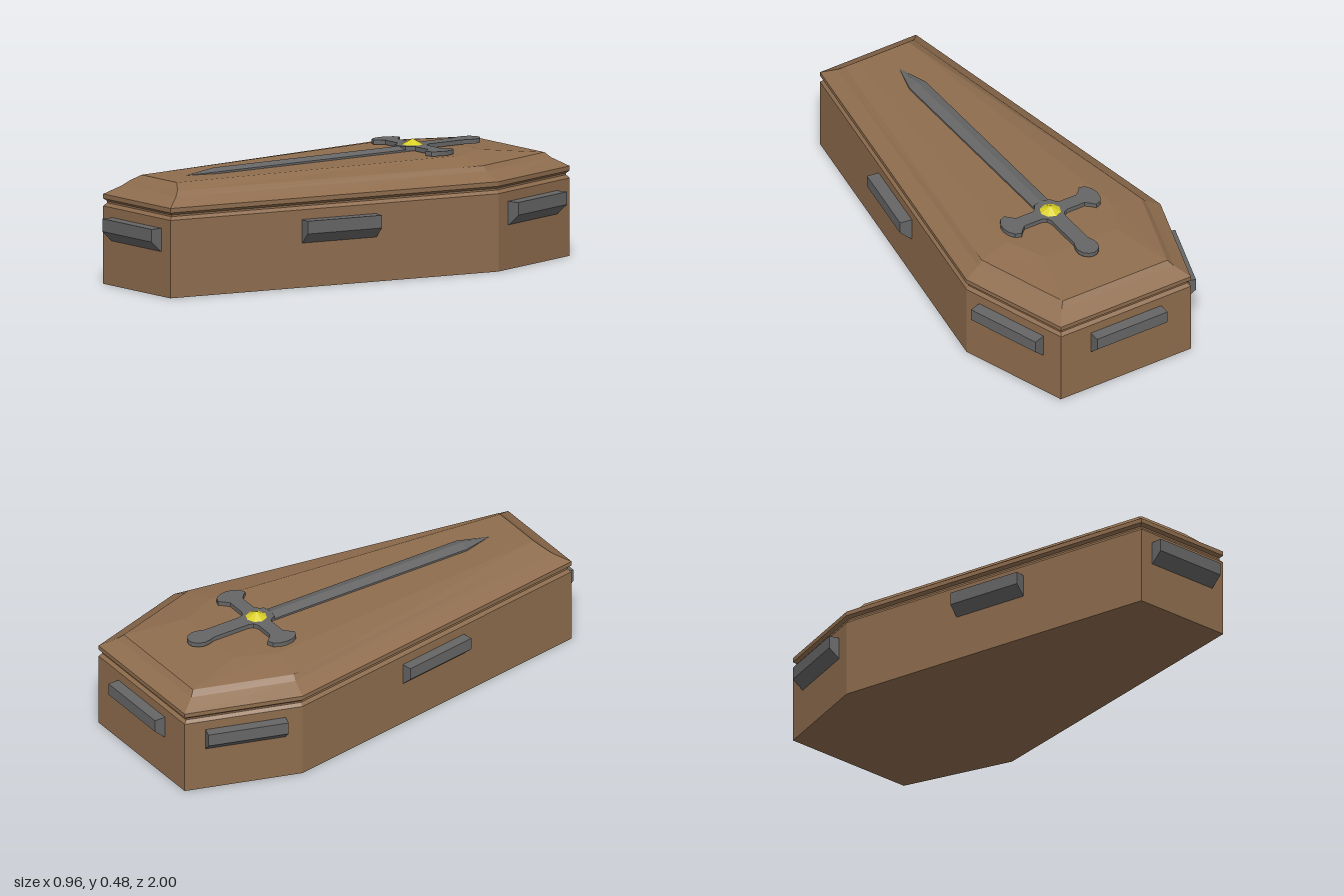
import * as THREE from 'three';

// Skins a list of equal-sized point rings (counter-clockwise seen from the end) and caps both ends.
function loft(rings) {
  const pos = [];
  const tri = (a, b, c) => pos.push(...a, ...b, ...c);
  const n = rings[0].length;
  for (let r = 0; r < rings.length - 1; r++) {
    for (let i = 0; i < n; i++) {
      const j = (i + 1) % n;
      const [a, b, c, d] = [rings[r][i], rings[r][j], rings[r + 1][j], rings[r + 1][i]];
      tri(a, b, c);
      tri(a, c, d);
    }
  }
  const first = rings[0], last = rings[rings.length - 1];
  for (let i = 1; i < n - 1; i++) {
    tri(first[0], first[i + 1], first[i]);
    tri(last[0], last[i], last[i + 1]);
  }
  const geo = new THREE.BufferGeometry();
  geo.setAttribute('position', new THREE.Float32BufferAttribute(pos, 3));
  geo.computeVertexNormals();
  return geo;
}

// Six-sided outline: half width and z at the foot, shoulders and head.
function outline([y, footX, footZ, wideX, wideZ, headX, headZ]) {
  const half = [[footX, y, footZ], [wideX, y, wideZ], [headX, y, headZ]];
  return [...half, ...half.map(([x, h, z]) => [-x, h, z]).reverse()];
}

export function createModel() {
  const group = new THREE.Group();
  const make = (name, color) => {
    const m = new THREE.MeshStandardMaterial({ color, flatShading: true });
    m.name = name;
    return m;
  };
  const wood = make('brown wood', 0x8f6d4e);
  const metal = make('grey metal', 0x666666);
  const gold = make('yellow gem', 0xd9cf26);
  const add = (name, geo, mat) => {
    const mesh = new THREE.Mesh(geo, mat);
    mesh.name = name;
    group.add(mesh);
    return mesh;
  };

  // Box
  const box = add('box', loft([
    [0, 0.225, 0.95, 0.455, -0.49, 0.305, -0.95],
    [0.312, 0.225, 0.95, 0.455, -0.49, 0.305, -0.95],
    [0.325, 0.216, 0.938, 0.443, -0.49, 0.297, -0.938],
  ].map(outline)), wood);

  // Lid with a notched rim, bevelled border and raised crown
  const lid = add('lid', loft([
    [0.325, 0.216, 0.938, 0.443, -0.49, 0.297, -0.938],
    [0.332, 0.216, 0.938, 0.443, -0.49, 0.297, -0.938],
    [0.342, 0.225, 0.95, 0.455, -0.49, 0.305, -0.95],
    [0.36, 0.225, 0.95, 0.455, -0.49, 0.305, -0.95],
    [0.395, 0.18, 0.89, 0.392, -0.48, 0.262, -0.89],
    [0.415, 0.16, 0.868, 0.373, -0.475, 0.245, -0.87],
    [0.44, 0.118, 0.84, 0.24, -0.46, 0.17, -0.62],
  ].map(outline)), wood);
  box.position.x = lid.position.x = -0.004;

  // Handles: one wedge-bottomed bar on each of the six walls
  const profile = new THREE.Shape([
    [-0.01, 0.176], [0.002, 0.18], [0.048, 0.222], [0.048, 0.273], [-0.01, 0.273],
  ].map(([x, y]) => new THREE.Vector2(x, y)));
  const bar = new THREE.ExtrudeGeometry(profile, { depth: 0.33, bevelEnabled: false });
  bar.translate(0, 0, -0.165);
  const handle = (name, x, z, nx, nz) => {
    const mesh = add(name, bar, metal);
    mesh.position.set(x, 0, z);
    mesh.rotation.y = Math.atan2(-nz, nx);
  };
  handle('footHandle', -0.005, 0.95, 0, 1);
  handle('headHandle', -0.005, -0.95, 0, -1);
  for (const [side, s] of [['left', 1], ['right', -1]]) {
    handle(side + 'LegHandle', s * 0.342, 0.21, s * 1.44, 0.23);
    handle(side + 'ShoulderHandle', s * 0.382, -0.71, s * 0.46, -0.15);
  }

  // Sword hilt: grip, round pommel and flared crossguard in one flat plate
  const upperGuard = [[0.06, -0.43], [0.14, -0.43], [0.158, -0.445], [0.175, -0.465],
    [0.2, -0.455], [0.215, -0.43]];
  const halfHilt = [
    [0, -0.722], [0.018, -0.718], [0.036, -0.703], [0.045, -0.677], [0.042, -0.65], [0.033, -0.625],
    [0.033, -0.46], [0.04, -0.44],
    ...upperGuard, [0.22, -0.4],
    ...upperGuard.map(([x, z]) => [x, -0.8 - z]).reverse(),
    [0.045, -0.355], [0.036, -0.338], [0, -0.33],
  ];
  const mirrored = halfHilt.slice(1, -1).reverse().map(([x, z]) => [-x, z]);
  const hiltShape = new THREE.Shape([...halfHilt, ...mirrored].map(([x, z]) => new THREE.Vector2(x, -z)));
  const hiltGeo = new THREE.ExtrudeGeometry(hiltShape, { depth: 0.018, bevelEnabled: false });
  hiltGeo.rotateX(-Math.PI / 2);
  add('swordHilt', hiltGeo, metal).position.y = 0.443;

  // Blade: ridged section running to a point
  const section = (z, w, h) => [[-w, 0.441, z], [w, 0.441, z], [w, 0.441 + h * 0.4, z],
    [0, 0.441 + h, z], [-w, 0.441 + h * 0.4, z]];
  add('swordBlade', loft([section(-0.36, 0.038, 0.019), section(0.58, 0.038, 0.019),
    section(0.71, 0.0005, 0.0005)]), metal);

  // Faceted gem at the crossing
  const gem = add('gem', new THREE.ConeGeometry(0.045, 0.024, 8), gold);
  gem.position.set(0, 0.472, -0.4);

  return group;
}
